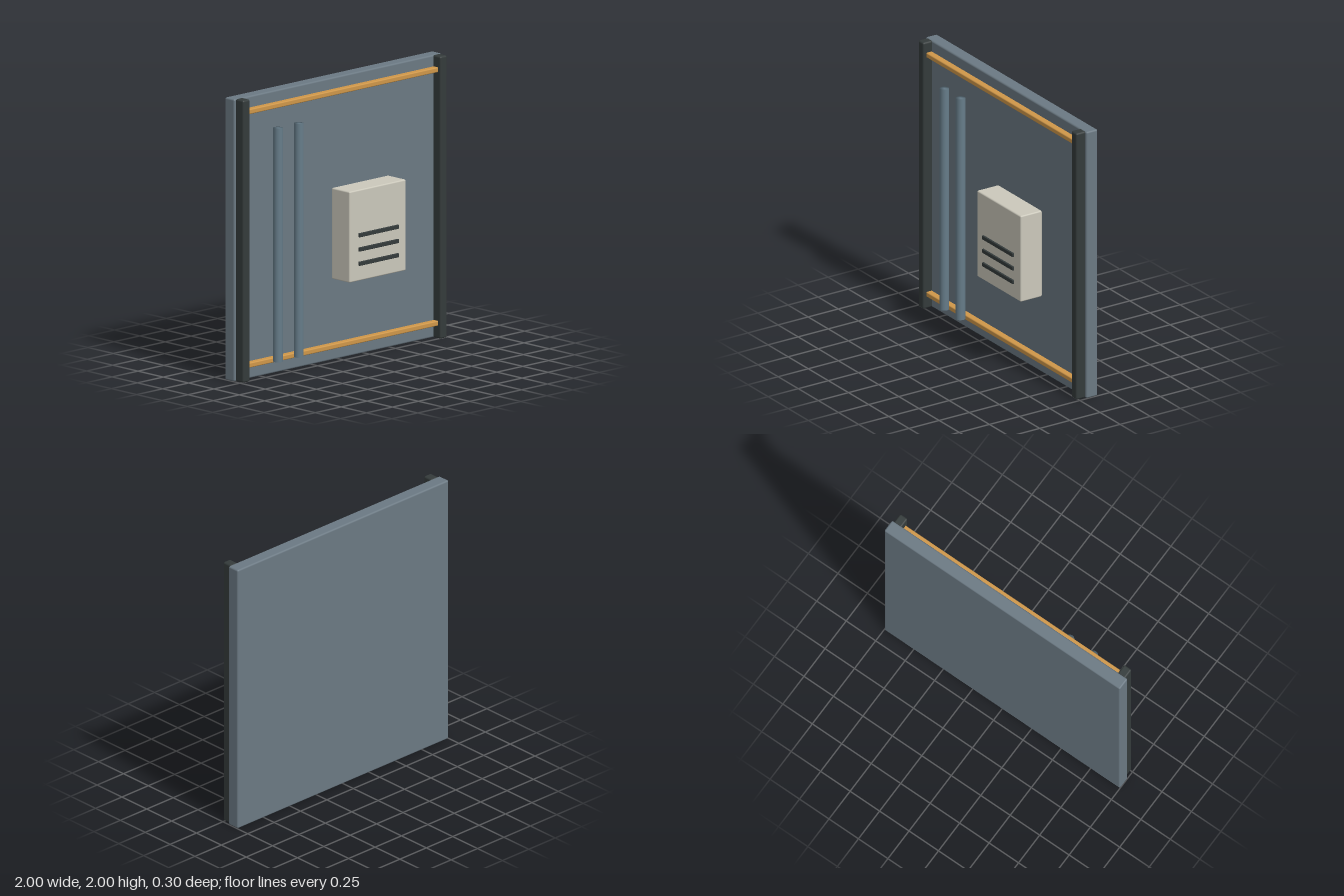
import * as THREE from 'three';
import { mergeVertices } from 'three/addons/utils/BufferGeometryUtils.js';
import { RoundedBoxGeometry } from 'three/addons/geometries/RoundedBoxGeometry.js';

const mat = (name, color) => {
  const m = new THREE.MeshStandardMaterial({ color });
  m.name = name;
  return m;
};

export function createModel() {
  const group = new THREE.Group();
  const panelGrey = mat('panel grey', 0x6b7983);
  const pipeBlue = mat('pipe blue grey', 0x667c89);
  const charcoal = mat('charcoal', 0x343b3b);
  const amber = mat('amber', 0xcf9749);
  const cream = mat('cream', 0xcbc8bb);

  // Softly bevelled box given by its min and max corners
  const block = (name, material, [x0, y0, z0], [x1, y1, z1], bevel) => {
    const geo = new RoundedBoxGeometry(x1 - x0, y1 - y0, z1 - z0, 2, bevel);
    const mesh = new THREE.Mesh(geo, material);
    mesh.name = name;
    mesh.position.set((x0 + x1) / 2, (y0 + y1) / 2, (z0 + z1) / 2);
    group.add(mesh);
  };

  // Wall panel
  block('wallPanel', panelGrey, [-1, 0, -0.15], [1, 2, -0.055], 0.012);

  // Upright posts at both sides
  for (const [side, x] of [['left', 0.95], ['right', -0.95]]) {
    block(`${side}Post`, charcoal, [x - 0.033, 0, -0.063], [x + 0.033, 2, 0.017], 0.013);
  }

  // Horizontal trim rails between the posts
  for (const [name, y] of [['lowerRail', 0.107], ['upperRail', 1.903]]) {
    block(name, amber, [-0.925, y - 0.018, -0.058], [0.925, y + 0.018, -0.008], 0.008);
  }

  // Vertical pipes, with normals blended over the end caps
  let pipeGeo = new THREE.CylinderGeometry(0.034, 0.034, 1.655, 16);
  pipeGeo.deleteAttribute('normal');
  pipeGeo.deleteAttribute('uv');
  pipeGeo = mergeVertices(pipeGeo);
  pipeGeo.computeVertexNormals();
  for (const [name, x] of [['outerPipe', -0.652], ['innerPipe', -0.452]]) {
    const pipe = new THREE.Mesh(pipeGeo, pipeBlue);
    pipe.name = name;
    pipe.position.set(x, 0.928, 0.02);
    group.add(pipe);
  }

  // Control box with three vent slats
  block('controlBox', cream, [-0.075, 0.58, -0.043], [0.47, 1.225, 0.136], 0.01);
  for (let i = 0; i < 3; i++) {
    const y = 0.703 + i * 0.101;
    block(`ventSlat${i + 1}`, charcoal, [0.008, y - 0.014, 0.134], [0.388, y + 0.014, 0.15], 0.003);
  }

  return group;
}
